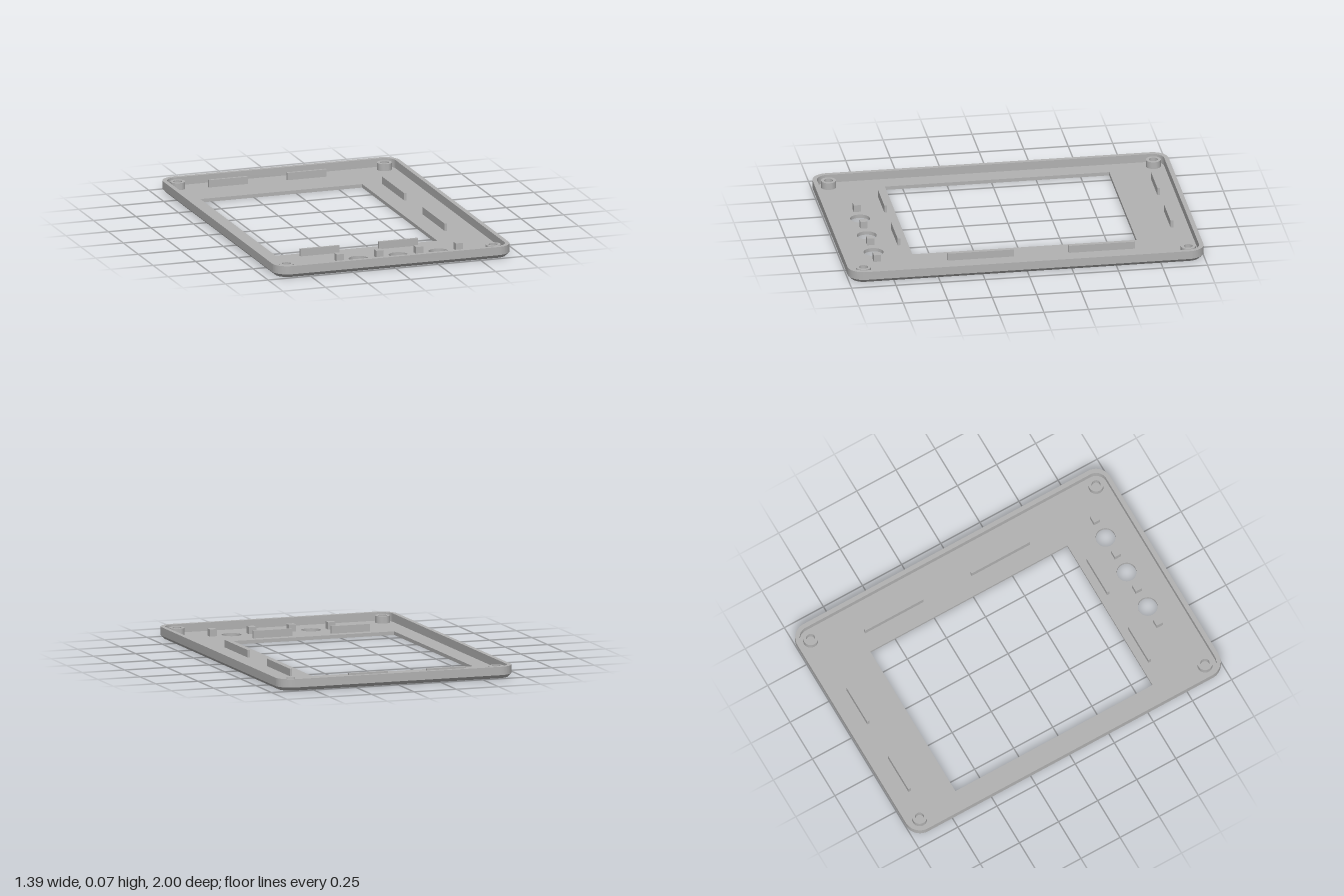
import * as THREE from 'three';
import { toCreasedNormals } from 'three/addons/utils/BufferGeometryUtils.js';

const W = 0.695, D = 1, H = 0.067, FLOOR = 0.02, R = 0.09;

// Rounded rectangle, moved inwards from the outer edge by inset
function outline(inset) {
  const s = new THREE.Shape();
  const x = W - R, y = D - R, r = R - inset, q = Math.PI / 2;
  s.absarc(x, y, r, 0, q);
  s.absarc(-x, y, r, q, 2 * q);
  s.absarc(-x, -y, r, 2 * q, 3 * q);
  s.absarc(x, -y, r, 3 * q, 4 * q);
  s.closePath();
  return s;
}

// Skin between successive outlines, each given as [inset, height]
function loft(sections) {
  const rings = sections.map(([inset, y]) =>
    outline(inset).getPoints(10).map(p => [p.x, y, p.y]));
  const pos = [];
  for (let k = 0; k < rings.length - 1; k++) {
    const a = rings[k], b = rings[k + 1];
    for (let i = 0; i < a.length; i++) {
      const j = (i + 1) % a.length;
      pos.push(...a[i], ...b[i], ...b[j], ...a[i], ...b[j], ...a[j]);
    }
  }
  const g = new THREE.BufferGeometry();
  g.setAttribute('position', new THREE.Float32BufferAttribute(pos, 3));
  return toCreasedNormals(g, 0.5);
}

export function createModel() {
  const group = new THREE.Group();
  const grey = new THREE.MeshStandardMaterial({ color: 0xb2b2b2 });
  grey.name = 'grey plastic';

  function add(name, geometry, x = 0, y = 0, z = 0) {
    const mesh = new THREE.Mesh(geometry, grey);
    mesh.name = name;
    mesh.position.set(x, y, z);
    group.add(mesh);
  }
  function block(name, x, z, w, h, d) {
    add(name, new THREE.BoxGeometry(w, h, d), x, FLOOR + h / 2, z);
  }

  // Rim: chamfered foot, outer wall, top edge and inner wall
  add('rim', loft([[0.02, 0], [0, 0.02], [0, H], [0.025, H], [0.025, FLOOR]]));

  // Face plate with screen window and three button holes
  const plate = outline(0.02);
  const windowHole = new THREE.Path();
  windowHole.moveTo(-0.565, -0.66);
  windowHole.lineTo(-0.565, 0.6);
  windowHole.lineTo(0.385, 0.6);
  windowHole.lineTo(0.385, -0.66);
  windowHole.closePath();
  plate.holes.push(windowHole);
  for (const x of [-0.15, 0.085, 0.32]) {
    plate.holes.push(new THREE.Path().absarc(x, 0.807, 0.055, 0, Math.PI * 2, true));
  }
  const plateGeometry = new THREE.ExtrudeGeometry(plate,
    { depth: FLOOR, bevelEnabled: false, curveSegments: 20 });
  plateGeometry.rotateX(Math.PI / 2).translate(0, FLOOR, 0);
  add('facePlate', toCreasedNormals(plateGeometry, 0.5));

  // Hollow screw posts in the corners
  const postProfile = [[0.042, FLOOR], [0.042, 0.06], [0.025, 0.06], [0.025, FLOOR]]
    .map(([x, y]) => new THREE.Vector2(x, y));
  const post = toCreasedNormals(new THREE.LatheGeometry(postProfile, 28), 0.5);
  for (const x of [-0.61, 0.605]) {
    for (const z of [-0.915, 0.91]) add('screwPost', post, x, 0, z);
  }

  // Upright ribs around the window
  for (const x of [-0.325, 0.135]) {
    for (const z of [-0.881, 0.653]) block('rib', x, z, 0.23, 0.042, 0.015);
  }
  for (const z of [-0.445, 0.235]) block('sideRib', 0.498, z, 0.013, 0.042, 0.372);

  // Small blocks between the button holes
  for (const x of [-0.265, -0.032, 0.202, 0.435]) {
    block('buttonBlock', x, 0.807, 0.042, 0.04, 0.04);
  }
  return group;
}
